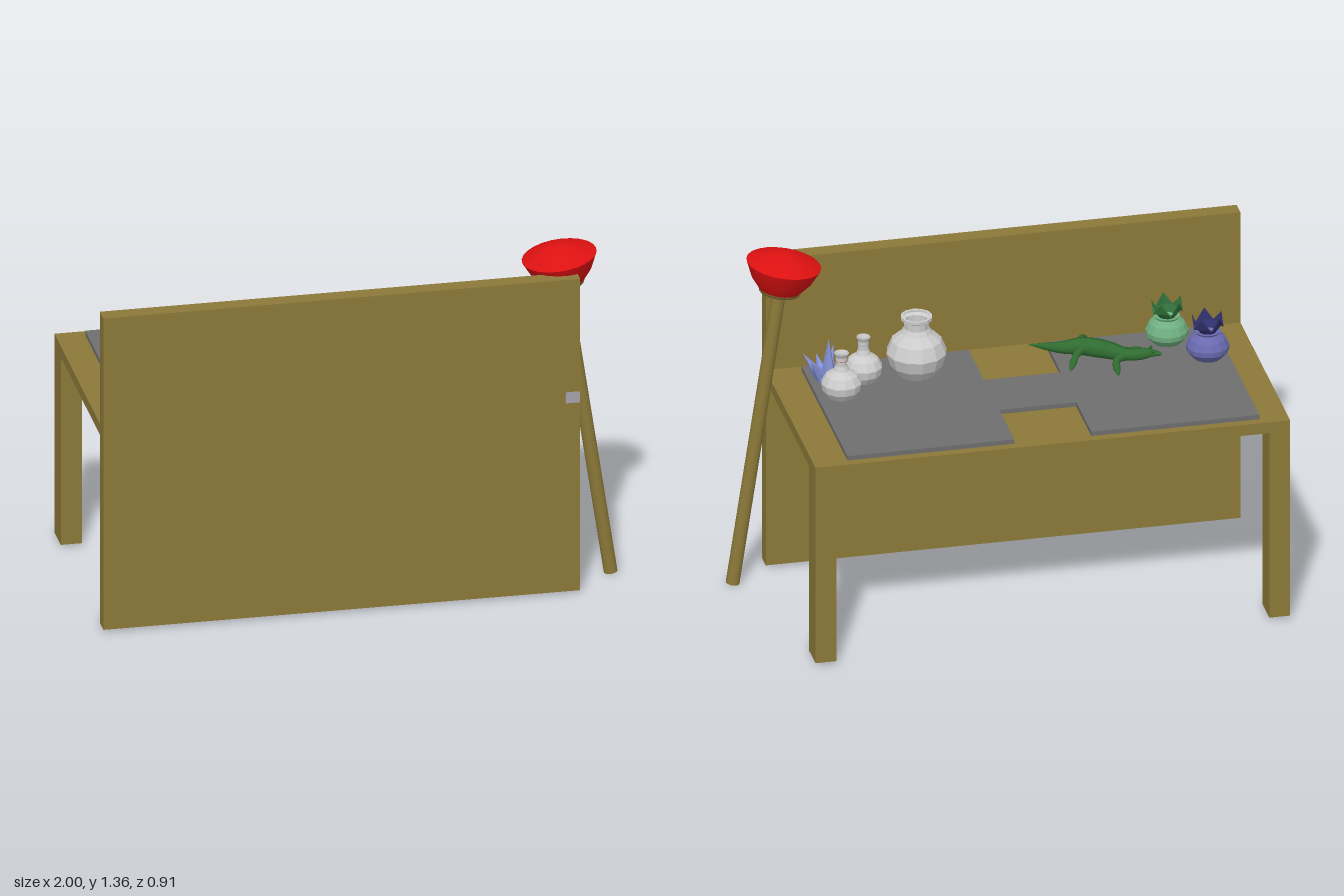
import * as THREE from 'three';

const V = (x, y, z) => new THREE.Vector3(x, y, z);
const mat = (color, flatShading = false) =>
  new THREE.MeshStandardMaterial({ color, flatShading, side: THREE.DoubleSide });

const wood = mat(0x8b7838);
const slate = mat(0x6e6e6e);
const red = mat(0xdd1111);
const glass = mat(0xcccccc, true);
const crystalBlue = mat(0x8490d4, true);
const lizardGreen = mat(0x2f6b30);

function add(parent, name, geometry, material, x = 0, y = 0, z = 0) {
  const mesh = new THREE.Mesh(geometry, material);
  mesh.name = name;
  mesh.position.set(x, y, z);
  parent.add(mesh);
  return mesh;
}

// Box given by its minimum and maximum corners
function box(parent, name, material, [x0, y0, z0], [x1, y1, z1]) {
  return add(parent, name, new THREE.BoxGeometry(x1 - x0, y1 - y0, z1 - z0), material,
    (x0 + x1) / 2, (y0 + y1) / 2, (z0 + z1) / 2);
}

const lathe = (profile, sides) =>
  new THREE.LatheGeometry(profile.map(([r, y]) => new THREE.Vector2(r, y)), sides);

// Tube whose radius follows a list of values, flattened in height by squash
function taperedTube(points, radii, squash = 1, n = 24, m = 8) {
  const curve = new THREE.CatmullRomCurve3(points);
  const geo = new THREE.TubeGeometry(curve, n, 1, m);
  const pos = geo.attributes.position;
  const v = V(0, 0, 0);
  for (let i = 0; i <= n; i++) {
    const centre = curve.getPointAt(i / n);
    const t = (i / n) * (radii.length - 1);
    const k = Math.min(Math.floor(t), radii.length - 2);
    const r = THREE.MathUtils.lerp(radii[k], radii[k + 1], t - k);
    for (let j = 0; j <= m; j++) {
      const id = i * (m + 1) + j;
      v.fromBufferAttribute(pos, id).sub(centre).multiplyScalar(r);
      v.y *= squash;
      v.add(centre);
      pos.setXYZ(id, v.x, v.y, v.z);
    }
  }
  geo.computeVertexNormals();
  return geo;
}

function addTable(model) {
  const table = new THREE.Group();
  table.name = 'table';
  model.add(table);
  box(table, 'frontPanel', wood, [-1, 0.015, 0.39], [0.82, 1.29, 0.455]);
  box(table, 'tableTop', wood, [-1, 0.785, -0.455], [0.82, 0.83, 0.39]);
  const legMaterials = [wood, wood, wood, slate, wood, wood];
  for (const x of [-1, 0.74]) {
    box(table, 'leg', legMaterials, [x, 0.015, -0.455], [x + 0.08, 0.785, -0.34]);
  }
  box(table, 'panelPatch', mat(0xa6a2aa), [0.765, 0.785, 0.45], [0.82, 0.83, 0.456]);

  // H-shaped mat lying on the table top
  const outline = [
    [-0.89, -0.42], [-0.245, -0.42], [-0.245, -0.165], [0.05, -0.165], [0.05, -0.42], [0.69, -0.42],
    [0.69, 0.355], [0.05, 0.355], [0.05, 0.095], [-0.245, 0.095], [-0.245, 0.355], [-0.89, 0.355],
  ].map(([x, z]) => new THREE.Vector2(x, z));
  const geo = new THREE.ExtrudeGeometry(new THREE.Shape(outline), { depth: 0.018, bevelEnabled: false });
  geo.rotateX(Math.PI / 2);
  add(table, 'tableMat', geo, slate, 0, 0.848, 0);
}

// Leaning pole with a wide shade on top
function addLamp(model) {
  const lamp = new THREE.Group();
  lamp.name = 'lamp';
  lamp.position.set(0.97, 0.008, 0.29);
  lamp.rotation.z = Math.atan(0.15);
  model.add(lamp);
  add(lamp, 'pole', new THREE.CylinderGeometry(0.026, 0.026, 1.22, 16), [wood, wood, slate], 0, 0.61, 0);
  add(lamp, 'shadeBase', lathe([[0, 1.208], [0.078, 1.21], [0.082, 1.222]], 24), wood);
  add(lamp, 'shade', lathe([[0.08, 1.22], [0.115, 1.265], [0.142, 1.325]], 24), red);
  add(lamp, 'shadeTop', lathe([[0.142, 1.325], [0.08, 1.353], [0.035, 1.367], [0, 1.37]], 24), red);
}

// Faceted vase with a disc of liquid inside
function addVase(model, name, profile, x, z, liquid, level, radius) {
  const vase = new THREE.Group();
  vase.name = name;
  vase.position.set(x, 0.848, z);
  model.add(vase);
  add(vase, 'vaseBody', lathe(profile, 12), glass);
  const disc = new THREE.CircleGeometry(radius, 16).rotateX(-Math.PI / 2);
  add(vase, 'liquid', disc, mat(liquid), 0, level, 0);
}

// Round pot with a zigzag crown of pointed leaves
function addPot(model, name, potColor, leafColor, x, z) {
  const pot = new THREE.Group();
  pot.name = name;
  pot.position.set(x, 0.848, z);
  model.add(pot);
  const profile = [[0, 0], [0.055, 0], [0.08, 0.03], [0.082, 0.05], [0.068, 0.08], [0.045, 0.1], [0.05, 0.108], [0, 0.1]];
  add(pot, 'potBody', lathe(profile, 14), mat(potColor, true));
  const crown = lathe([[0.025, 0.095], [0.05, 0.13], [0.06, 0.175]], 10);
  const pos = crown.attributes.position;
  for (let i = 1; i <= 10; i += 2) pos.setY(i * 3 + 2, 0.125);
  add(pot, 'leaves', crown, mat(leafColor, true));
}

// Cluster of pointed crystals leaning outwards
function addCrystals(model) {
  const cluster = new THREE.Group();
  cluster.name = 'crystals';
  cluster.position.set(0.62, 0.848, 0.24);
  model.add(cluster);
  const spike = (x, z, h, r, leanX, leanZ) => {
    const geo = new THREE.ConeGeometry(r, h, 5).translate(0, h / 2, 0);
    const mesh = add(cluster, 'crystal', geo, crystalBlue, x, 0, z);
    mesh.quaternion.setFromUnitVectors(V(0, 1, 0), V(leanX, 1, leanZ).normalize());
  };
  spike(0, -0.03, 0.18, 0.035, 0, 0);
  for (let i = 0; i < 7; i++) {
    const a = (i / 7) * Math.PI * 2 + 0.3;
    const c = Math.cos(a), s = Math.sin(a);
    spike(0.02 * c, 0.025 * s, i % 2 ? 0.09 : 0.12, 0.028, 0.7 * c, 0.7 * s);
  }
}

function addLizard(model) {
  const lizard = new THREE.Group();
  lizard.name = 'lizard';
  model.add(lizard);
  const spine = [V(-0.625, 0.895, 0.07), V(-0.575, 0.9, 0.08), V(-0.52, 0.895, 0.085), V(-0.47, 0.893, 0.12),
    V(-0.42, 0.89, 0.17), V(-0.35, 0.89, 0.21), V(-0.28, 0.885, 0.225), V(-0.165, 0.88, 0.285)];
  add(lizard, 'body', taperedTube(spine, [0.008, 0.028, 0.028, 0.04, 0.045, 0.042, 0.03, 0.018, 0.002], 0.75), lizardGreen);
  const legs = [
    [[-0.485, 0.1], [-0.45, 0.06], [-0.445, 0.002]],
    [[-0.49, 0.12], [-0.54, 0.14], [-0.57, 0.195]],
    [[-0.35, 0.19], [-0.315, 0.145], [-0.28, 0.08]],
    [[-0.36, 0.22], [-0.365, 0.28], [-0.395, 0.34]],
  ];
  for (const [hip, knee, foot] of legs) {
    const path = [V(hip[0], 0.89, hip[1]), V(knee[0], 0.888, knee[1]), V(foot[0], 0.858, foot[1])];
    add(lizard, 'leg', taperedTube(path, [0.028, 0.018, 0.013, 0.015, 0.004], 0.8, 10), lizardGreen);
  }
  for (const z of [0.06, 0.095]) {
    add(lizard, 'eye', new THREE.SphereGeometry(0.007, 8, 6), lizardGreen, -0.59, 0.915, z);
  }
}

export function createModel() {
  const model = new THREE.Group();
  model.name = 'tableScene';
  addTable(model);
  addLamp(model);

  const large = [[0, 0], [0.065, 0], [0.1, 0.045], [0.115, 0.095], [0.095, 0.145], [0.06, 0.175],
    [0.047, 0.195], [0.047, 0.222], [0.06, 0.23], [0.06, 0.243], [0.05, 0.243]];
  const small = [[0, 0], [0.05, 0], [0.072, 0.03], [0.077, 0.06], [0.06, 0.09], [0.03, 0.11],
    [0.022, 0.13], [0.022, 0.165], [0.029, 0.18]];
  addVase(model, 'largeVase', large, 0.285, 0.2, 0x00cc00, 0.18, 0.05);
  addVase(model, 'smallVase', small, 0.6, 0.08, 0xaa2222, 0.15, 0.024);
  addVase(model, 'slimVase', small.map(([r, y]) => [r * 0.94, y]), 0.49, 0.195, 0x7080c0, 0.15, 0.022);

  addCrystals(model);
  addPot(model, 'bluePot', 0x6a6ab0, 0x30306c, -0.81, 0.105);
  addPot(model, 'greenPot', 0x6fae7f, 0x2f6f3a, -0.69, 0.265);
  addLizard(model);
  return model;
}
